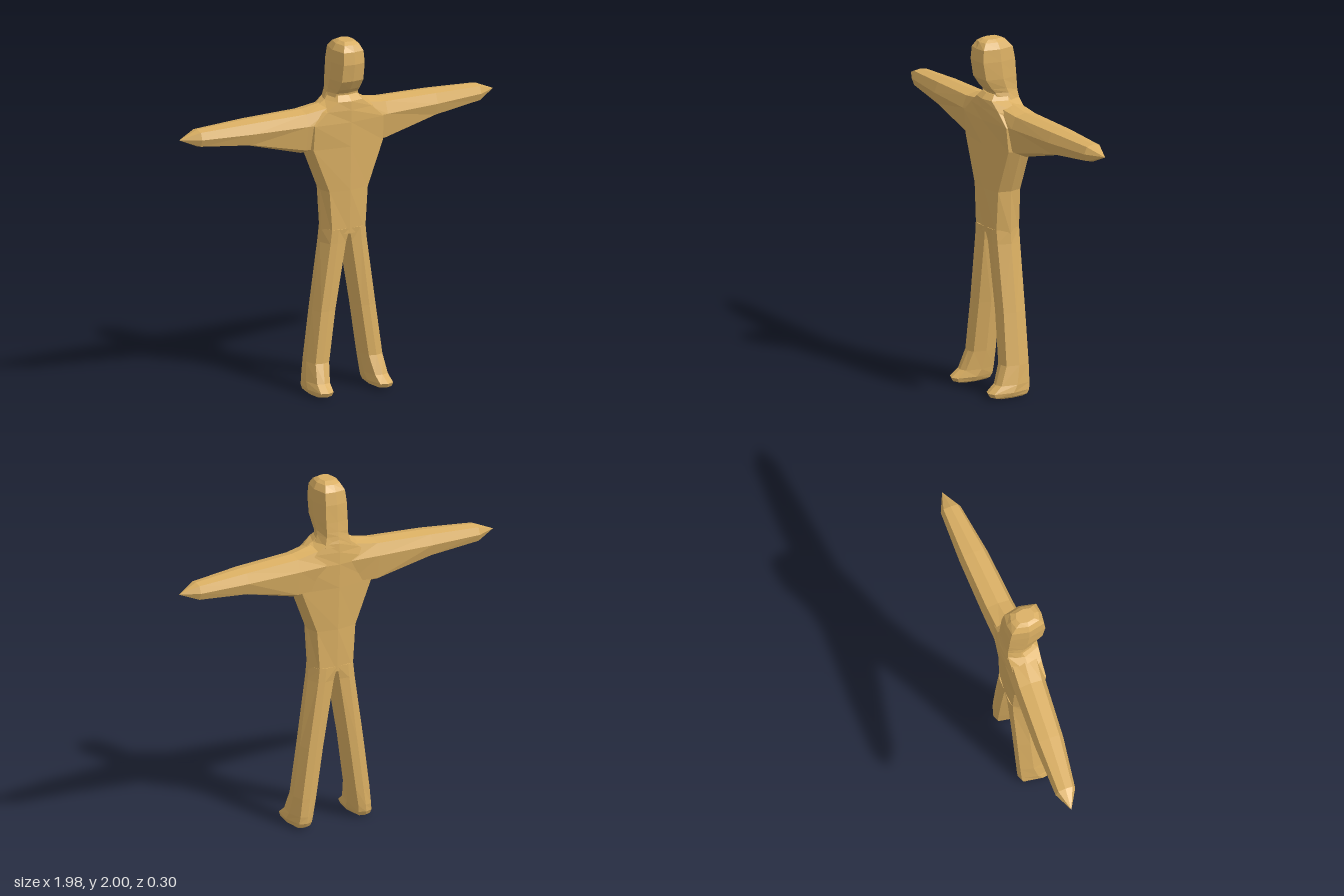
import * as THREE from 'three';

const skin = new THREE.MeshStandardMaterial({ color: 0xd9ae62, flatShading: true });
skin.name = 'tan';

// Eight-point section: four side midpoints and four corners pulled in by ka, kb.
// ia is the corner factor on the low-a side.
function section(a0, a1, am, b0, b1, bm, ka = 0.75, kb = 0.8, ia = ka, ib = kb) {
  const A0 = am + (a0 - am) * ia, A1 = am + (a1 - am) * ka;
  const Bl = [bm + (b0 - bm) * ib, bm + (b1 - bm) * ib];
  const Br = [bm + (b0 - bm) * kb, bm + (b1 - bm) * kb];
  return [[a1, bm], [A1, Br[1]], [am, b1], [A0, Bl[1]], [a0, bm], [A0, Bl[0]], [am, b0], [A1, Br[0]]];
}

// Skin a list of eight-point rings, close both ends and face the surface outward.
function loft(name, rings) {
  const tris = [], n = 8;
  const quad = (a, b, c, d) => tris.push([a, b, c], [a, c, d]);
  for (let i = 0; i < rings.length - 1; i++)
    for (let j = 0; j < n; j++) {
      const k = (j + 1) % n;
      quad(rings[i][j], rings[i][k], rings[i + 1][k], rings[i + 1][j]);
    }
  const first = rings[0], last = rings[rings.length - 1];
  for (let j = 1; j < n - 1; j++) {
    tris.push([first[0], first[j + 1], first[j]], [last[0], last[j], last[j + 1]]);
  }
  let volume = 0;
  const v = new THREE.Vector3();
  for (const [a, b, c] of tris) volume += a.dot(v.crossVectors(b, c));
  const pts = [];
  for (const [a, b, c] of tris) {
    if (new THREE.Triangle(a, b, c).getArea() < 1e-8) continue;
    pts.push(...(volume > 0 ? [a, b, c] : [a, c, b]));
  }
  const geometry = new THREE.BufferGeometry().setFromPoints(pts);
  geometry.computeVertexNormals();
  const mesh = new THREE.Mesh(geometry, skin);
  mesh.name = name;
  return mesh;
}

// Horizontal ring centred on x = 0: height, half width, back z, front z
const level = ([y, w, zb, zf, kx, kz]) =>
  section(-w, w, 0, zb, zf, (zb + zf) / 2, kx, kz).map(([x, z]) => new THREE.Vector3(x, y, z));

export function createModel() {
  const model = new THREE.Group();

  // Trunk from the crotch up to the collar
  model.add(loft('torso', [
    [0.90, 0.137, -0.115, 0.052, 0.75, 0.88],
    [1.15, 0.14, -0.123, 0.06, 0.86, 0.78],
    [1.40, 0.235, -0.137, 0.066, 0.93, 0.7],
    [1.54, 0.24, -0.145, 0.07, 0.9, 0.8],
    [1.61, 0.2, -0.142, 0.072, 0.7, 0.8],
    [1.66, 0.11, -0.138, 0.07, 0.7, 0.85],
    [1.69, 0.085, -0.13, 0.04, 0.7, 0.85],
  ].map(level)));

  // Neck and head with a jutting face
  model.add(loft('head', [
    [1.64, 0.11, -0.138, 0.02, 0.75, 0.85],
    [1.70, 0.09, -0.13, 0.035, 0.75, 0.85],
    [1.725, 0.088, -0.126, 0.055, 0.75, 0.9],
    [1.78, 0.09, -0.12, 0.092, 0.75, 0.92],
    [1.88, 0.088, -0.113, 0.11, 0.75, 0.92],
    [1.95, 0.082, -0.1, 0.104, 0.75, 0.92],
    [1.985, 0.062, -0.075, 0.086, 0.75, 0.85],
    [2.0, 0.04, -0.045, 0.06, 0.8, 0.8],
  ].map(level)));

  for (const s of [1, -1]) {
    const side = s > 0 ? 'left' : 'right';

    // Arm tapering to a point: x, bottom y, top y, back z, front z
    const arm = [
      [0.08, 1.38, 1.655, -0.138, 0.058],
      [0.25, 1.37, 1.622, -0.146, 0.036],
      [0.58, 1.46, 1.61, -0.155, 0.01],
      [0.88, 1.493, 1.59, -0.15, -0.035],
      [0.99, 1.542, 1.542, -0.1, -0.1],
    ].map(([x, y0, y1, zb, zf]) =>
      section(y0, y1, 1.542, zb, zf, (zb + zf) / 2, 0.82, 0.72)
        .map(([y, z]) => new THREE.Vector3(s * x, y, z)));
    model.add(loft(side + 'Arm', arm));

    // Leg and foot: y, inner x, outer x, back z, front z, inner and outer corner factors
    const leg = [
      [0.93, 0, 0.136, -0.115, 0.052, 1, 0.55],
      [0.85, 0.012, 0.14, -0.115, 0.05, 0.9, 0.6],
      [0.47, 0.065, 0.19, -0.112, 0.046, 0.72, 0.7],
      [0.18, 0.107, 0.229, -0.11, 0.053, 0.7, 0.7],
      [0.075, 0.122, 0.243, -0.11, 0.095, 0.66, 0.66],
      [0.035, 0.127, 0.248, -0.108, 0.148, 0.66, 0.66],
      [0.012, 0.138, 0.24, -0.095, 0.135, 0.7, 0.7],
      [0, 0.16, 0.222, -0.07, 0.09, 0.75, 0.75],
    ].map(([y, x0, x1, zb, zf, ki, ko]) =>
      section(x0, x1, (x0 + x1) / 2, zb, zf, (zb + zf) / 2, ko, 0.88, ki, Math.max(0.88, ki))
        .map(([x, z]) => new THREE.Vector3(s * x, y, z)));
    model.add(loft(side + 'Leg', leg));
  }
  return model;
}
